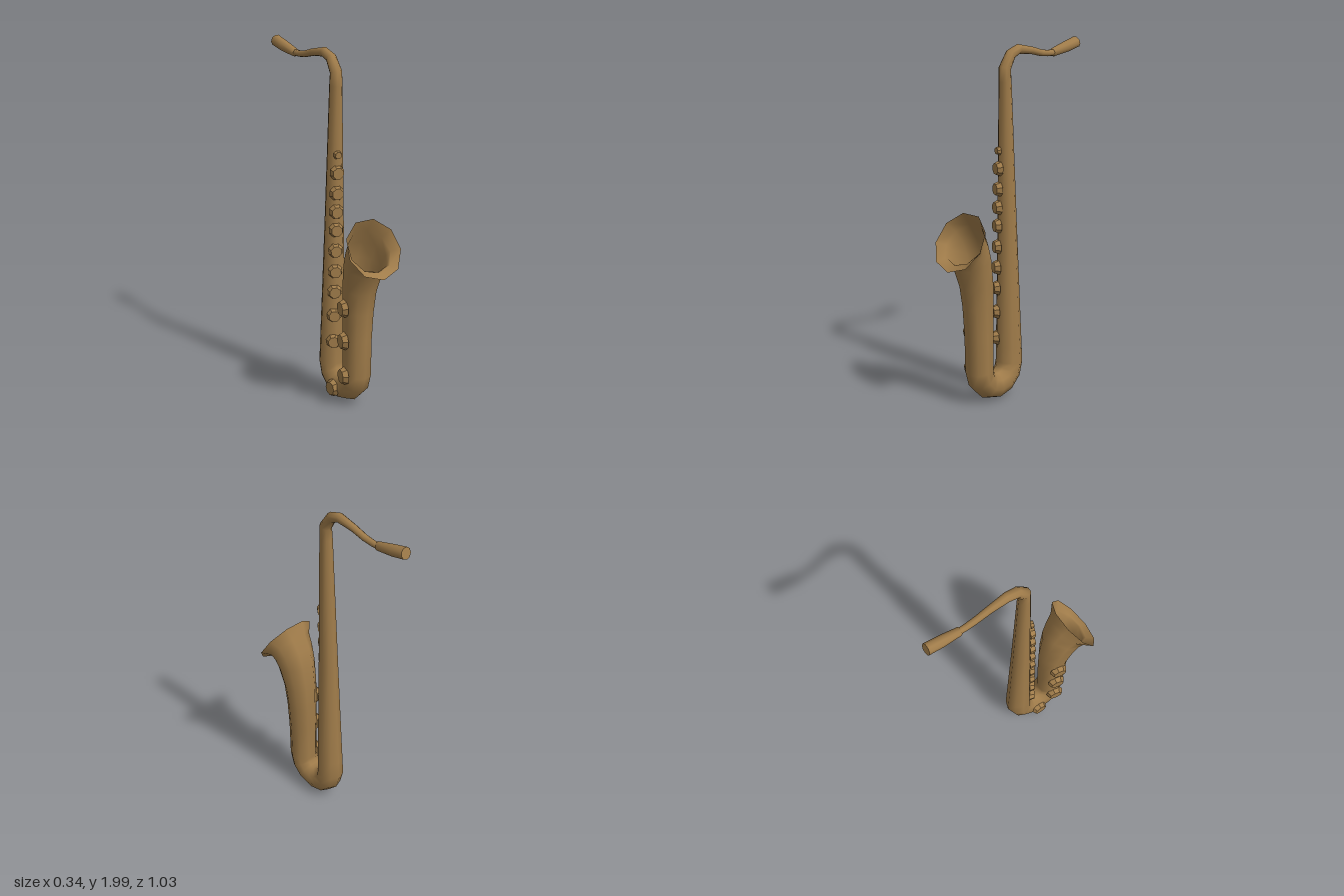
import * as THREE from 'three';

const SIDES = 9;

// Sweeps a nine-sided ring along a path in the yz plane; stations are [y, z, radius].
function sweep(stations, capped) {
  const pos = [], index = [];
  const pts = stations.map(([y, z]) => new THREE.Vector3(0, y, z));
  const X = new THREE.Vector3(1, 0, 0);
  stations.forEach((s, i) => {
    const prev = pts[Math.max(i - 1, 0)], next = pts[Math.min(i + 1, pts.length - 1)];
    const n = X.clone().cross(next.clone().sub(prev).normalize());
    for (let j = 0; j < SIDES; j++) {
      const a = (j / SIDES) * Math.PI * 2;
      const p = pts[i].clone().addScaledVector(n, s[2] * Math.cos(a)).addScaledVector(X, s[2] * Math.sin(a));
      pos.push(p.x, p.y, p.z);
    }
  });
  for (let i = 0; i < stations.length - 1; i++) {
    for (let j = 0; j < SIDES; j++) {
      const a = i * SIDES + j, b = i * SIDES + ((j + 1) % SIDES);
      index.push(a, b, b + SIDES, a, b + SIDES, a + SIDES);
    }
  }
  if (capped) {
    // separate ring so that the end face keeps a sharp edge
    const base = pos.length / 3;
    pos.push(...pos.slice(0, SIDES * 3));
    for (let j = 1; j < SIDES - 1; j++) index.push(base, base + j + 1, base + j);
  }
  const g = new THREE.BufferGeometry();
  g.setAttribute('position', new THREE.Float32BufferAttribute(pos, 3));
  g.setIndex(index);
  g.computeVertexNormals();
  return g;
}

export function createModel() {
  const model = new THREE.Group();
  const brass = new THREE.MeshStandardMaterial({ color: 0xa07c4a, side: THREE.DoubleSide });
  brass.name = 'brass';

  const add = (name, geometry) => {
    const mesh = new THREE.Mesh(geometry, brass);
    mesh.name = name;
    model.add(mesh);
    return mesh;
  };

  // mouthpiece
  add('mouthpiece', sweep([
    [1.969, -0.525, 0.033], [1.948, -0.44, 0.032], [1.925, -0.33, 0.024], [1.925, -0.325, 0.015],
  ], true));

  // neck, straight body, bow and flared bell in one tube
  const tube = [
    [1.925, -0.335, 0.018], [1.925, -0.29, 0.018], [1.931, -0.235, 0.019], [1.953, -0.15, 0.021],
    [1.968, -0.05, 0.027], [1.945, 0.012, 0.03], [1.873, 0.058, 0.034], [1.8, 0.056, 0.036],
    [1.0, 0.042, 0.055], [0.3, 0.03, 0.074],
  ];
  for (let k = 0; k <= 6; k++) {
    const a = (k / 6) * Math.PI;
    tube.push([0.2 - 0.112 * Math.sin(a), 0.146 - 0.118 * Math.cos(a), 0.077 + 0.0005 * k]);
  }
  tube.push(
    [0.42, 0.266, 0.082], [0.58, 0.272, 0.087], [0.71, 0.283, 0.095], [0.84, 0.314, 0.109],
    [0.91, 0.344, 0.119], [0.946, 0.372, 0.131], [0.969, 0.409, 0.174],
  );
  add('tubeAndBell', sweep(tube, false));

  // key pads: tapered discs whose axis lies in the xz plane
  const pad = (name, y, z, dist, angle, r, h) => {
    const g = new THREE.CylinderGeometry(r * 0.75, r, h, 8).toNonIndexed();
    g.computeVertexNormals();
    const key = add(name, g);
    const dir = new THREE.Vector3(-Math.sin(angle), 0, Math.cos(angle));
    key.quaternion.setFromUnitVectors(new THREE.Vector3(0, 1, 0), dir);
    key.position.set(0, y, z).addScaledVector(dir, dist);
  };

  // row of keys down the front of the body
  [1.425, 1.325, 1.21, 1.105, 1.0, 0.88, 0.76, 0.64, 0.5, 0.345].forEach((y, i) => {
    const t = (1.873 - y) / 1.6;
    pad('bodyKey', y, 0.058 - 0.028 * t, 0.034 + 0.041 * t + 0.006, 0.28 + 0.03 * i,
      i === 0 ? 0.025 : 0.043, i === 0 ? 0.02 : 0.03);
  });

  // large keys on the side of the bell and bow
  [[0.605, 0.273, 0.09], [0.41, 0.266, 0.084], [0.2, 0.264, 0.08]].forEach(([y, z, d]) =>
    pad('bellKey', y, z, d + 0.007, Math.PI / 2 + 0.2, 0.053, 0.03));
  pad('bowKey', 0.085, 0.135, 0.082, Math.PI / 2, 0.052, 0.026);

  return model;
}
